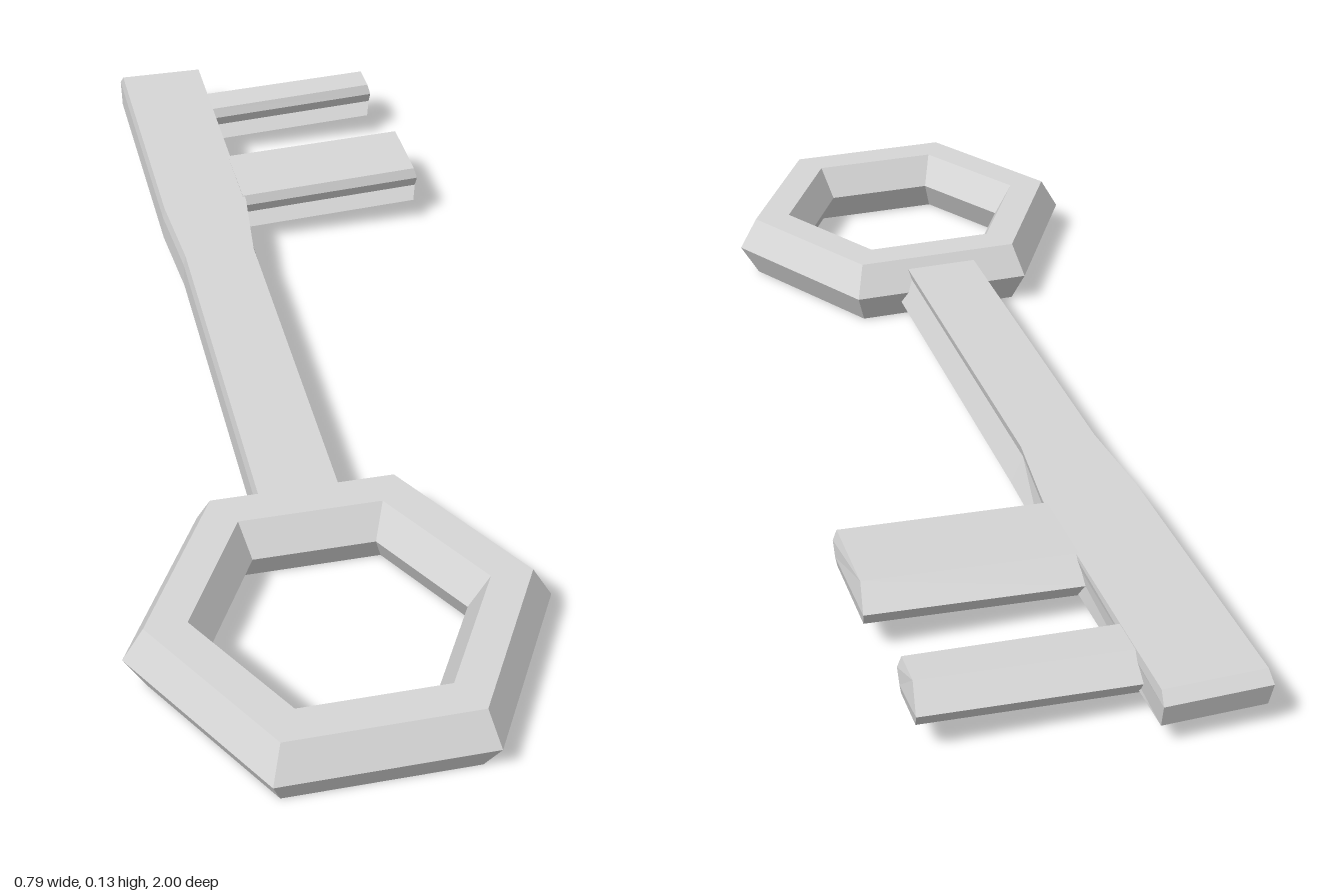
import * as THREE from 'three';

// Skins a row of equal-length closed cross-sections; the end caps are
// ladders of faces running from the first edge to the opposite corner or edge.
function loft(sections) {
  const pos = [];
  const quad = (a, b, c, d) => pos.push(...a, ...b, ...c, ...a, ...c, ...d);
  const n = sections[0].length;
  for (let i = 0; i < sections.length - 1; i++) {
    const a = sections[i], b = sections[i + 1];
    for (let j = 0; j < n; j++) {
      const k = (j + 1) % n;
      quad(a[j], a[k], b[k], b[j]);
    }
  }
  const first = sections[0];
  const last = sections[sections.length - 1];
  for (let j = 1; j < n / 2; j++) {
    const k = (n - j + 1) % n;
    quad(first[n - j], first[j + 1], first[j], first[k]);
    quad(last[k], last[j], last[j + 1], last[n - j]);
  }
  const geo = new THREE.BufferGeometry();
  geo.setAttribute('position', new THREE.Float32BufferAttribute(pos, 3));
  return geo;
}

export function createModel() {
  const model = new THREE.Group();
  const metal = new THREE.MeshStandardMaterial({ color: 0xd6d6d6 });
  metal.name = 'greyMetal';

  const add = (name, geo) => {
    geo.computeVertexNormals();
    const mesh = new THREE.Mesh(geo, metal);
    mesh.name = name;
    model.add(mesh);
  };

  // Six-sided ring with a six-sided section
  const ring = new THREE.TorusGeometry(0.276, 0.0693, 6, 6).toNonIndexed();
  ring.rotateX(-Math.PI / 2).translate(-0.05, 0.06, 0.7);
  add('bow', ring);

  // Shaft from the pointed tip to the ring, with a groove along its right side
  const shaftSection = ([z, left, rightTop, groove, rightBottom, y0, y1, bevel]) => {
    const ym = y0 + (y1 - y0) * 0.7;
    return [
      [left, y0, z + bevel], [rightBottom, y0, z + bevel], [groove, ym, z],
      [rightTop, y1, z + bevel], [left + 0.004, y1, z + bevel], [left, ym, z],
    ];
  };
  add('shaft', loft([
    [-1.0, -0.13, 0.04, 0.042, 0.038, 0.046, 0.112, 0.016],
    [-0.46, -0.13, 0.038, 0.034, 0.04, 0.04, 0.107, 0],
    [-0.29, -0.119, 0.018, 0.014, 0.036, 0.039, 0.106, 0],
    [0.42, -0.125, 0.015, 0.01, 0.032, 0.035, 0.102, 0],
  ].map(shaftSection)));

  // Teeth: grooved at the front, pointed at the back, rising a little outwards
  const tooth = (name, front, back, length) => {
    const section = (x, lift, bevel) => {
      const zb = back + bevel;
      return [
        [x - bevel, 0.046 + lift, front], [x - bevel, 0.046 + lift, zb + 0.025],
        [x, 0.08 + lift, zb], [x - bevel, 0.118 + lift, zb + 0.036],
        [x - bevel, 0.118 + lift, front - 0.006], [x, 0.097 + lift, front - 0.002],
        [x, 0.073 + lift, front - 0.014],
      ];
    };
    add(name, loft([section(0.034, -0.009, 0), section(length, 0.009, 0.006)]));
  };
  tooth('largeTooth', -0.465, -0.66, 0.392);
  tooth('smallTooth', -0.81, -0.917, 0.383);

  return model;
}
